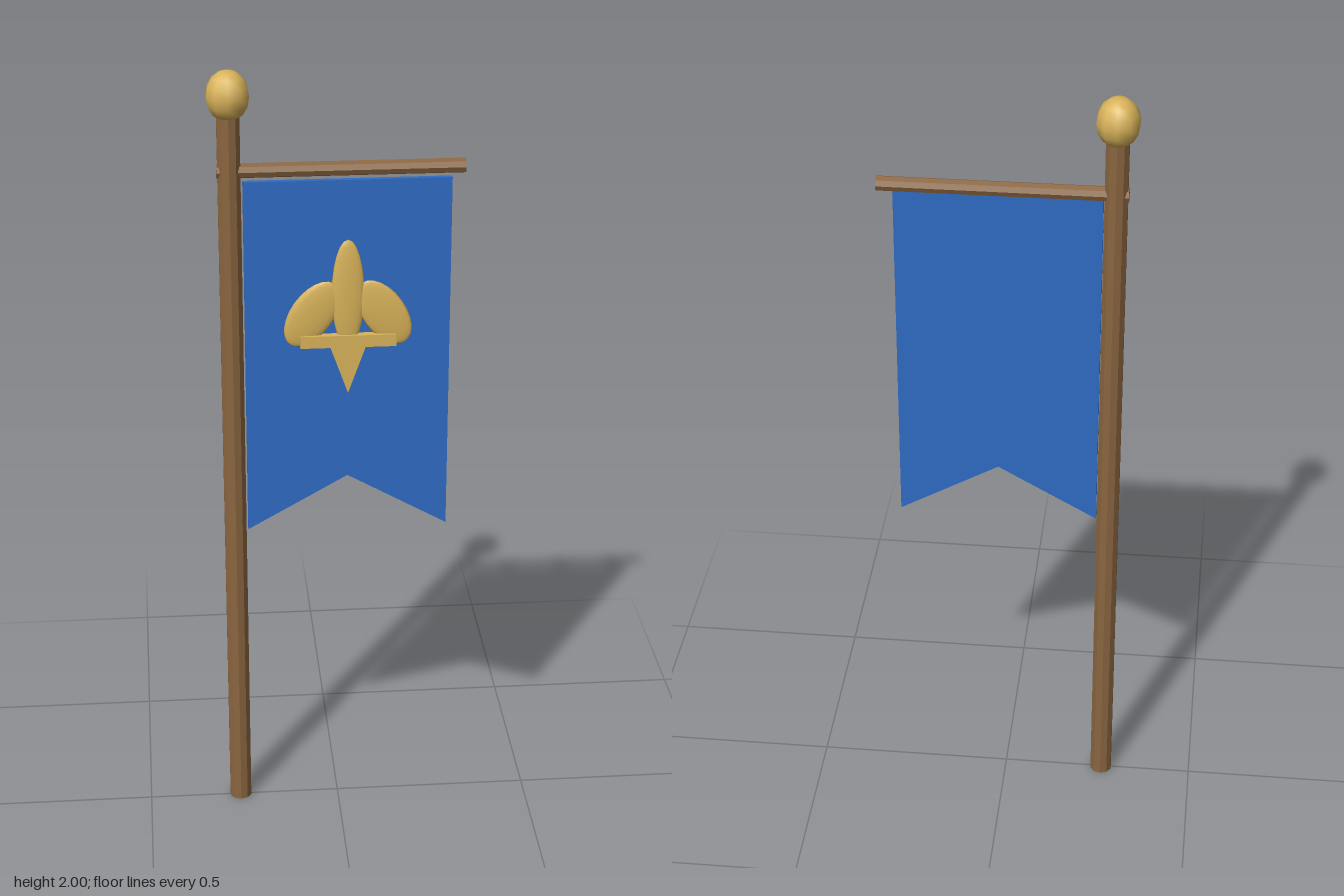
import * as THREE from 'three';

export function createModel() {
  const group = new THREE.Group();
  const wood = new THREE.MeshStandardMaterial({ color: 0x8a6540, flatShading: true });
  const gold = new THREE.MeshStandardMaterial({ color: 0xd9b35a });
  const blue = new THREE.MeshStandardMaterial({ color: 0x2f6cc4 });

  const add = (name, geometry, material, x, y, z) => {
    const mesh = new THREE.Mesh(geometry, material);
    mesh.name = name;
    mesh.position.set(x, y, z);
    group.add(mesh);
    return mesh;
  };
  // Flat plate cut from an outline
  const plate = (points, depth) => new THREE.ExtrudeGeometry(
    new THREE.Shape(points.map(([x, y]) => new THREE.Vector2(x, y))),
    { depth, bevelEnabled: false });

  // Pole with egg-shaped finial
  const poleX = -0.26, poleZ = -0.0015;
  add('pole', new THREE.CylinderGeometry(0.029, 0.029, 1.9, 10), wood, poleX, 0.95, poleZ);
  const finial = add('finial', new THREE.SphereGeometry(1, 10, 8), gold, poleX, 1.9375, poleZ);
  finial.scale.set(0.0535, 0.0625, 0.0535);
  finial.rotation.y = Math.PI / 2;

  // Crossbar
  const bar = add('crossbar', new THREE.CylinderGeometry(0.0185, 0.0185, 0.6, 8), wood, 0.01, 1.752, poleZ);
  bar.rotation.z = Math.PI / 2;

  // Swallow-tailed cloth
  const midX = 0.023;
  add('bannerCloth', plate(
    [[-0.252, 1.733], [-0.252, 0.81], [0, 0.953], [0.252, 0.81], [0.252, 1.733]], 0.0135),
    blue, midX, 0, 0.018);

  // Lily emblem: three petals, a band and a pointed foot
  const petal = (name, x, y, rx, ry, rz, tilt) => {
    const mesh = add(name, new THREE.SphereGeometry(1, 16, 12), gold, midX + x, y, 0.0405);
    mesh.scale.set(rx, ry, rz);
    mesh.rotation.z = tilt;
  };
  petal('centrePetal', 0, 1.445, 0.04, 0.14, 0.011, 0);
  for (const side of [-1, 1])
    petal(side < 0 ? 'rightPetal' : 'leftPetal', side * 0.088, 1.395, 0.053, 0.095, 0.0095, side * 0.6);
  add('emblemBand', new THREE.BoxGeometry(0.236, 0.031, 0.02), gold, midX, 1.325, 0.0435);
  add('emblemFoot', plate([[-0.05, 1.325], [0, 1.185], [0.05, 1.325]], 0.013),
    gold, midX, 0, 0.033);

  return group;
}
